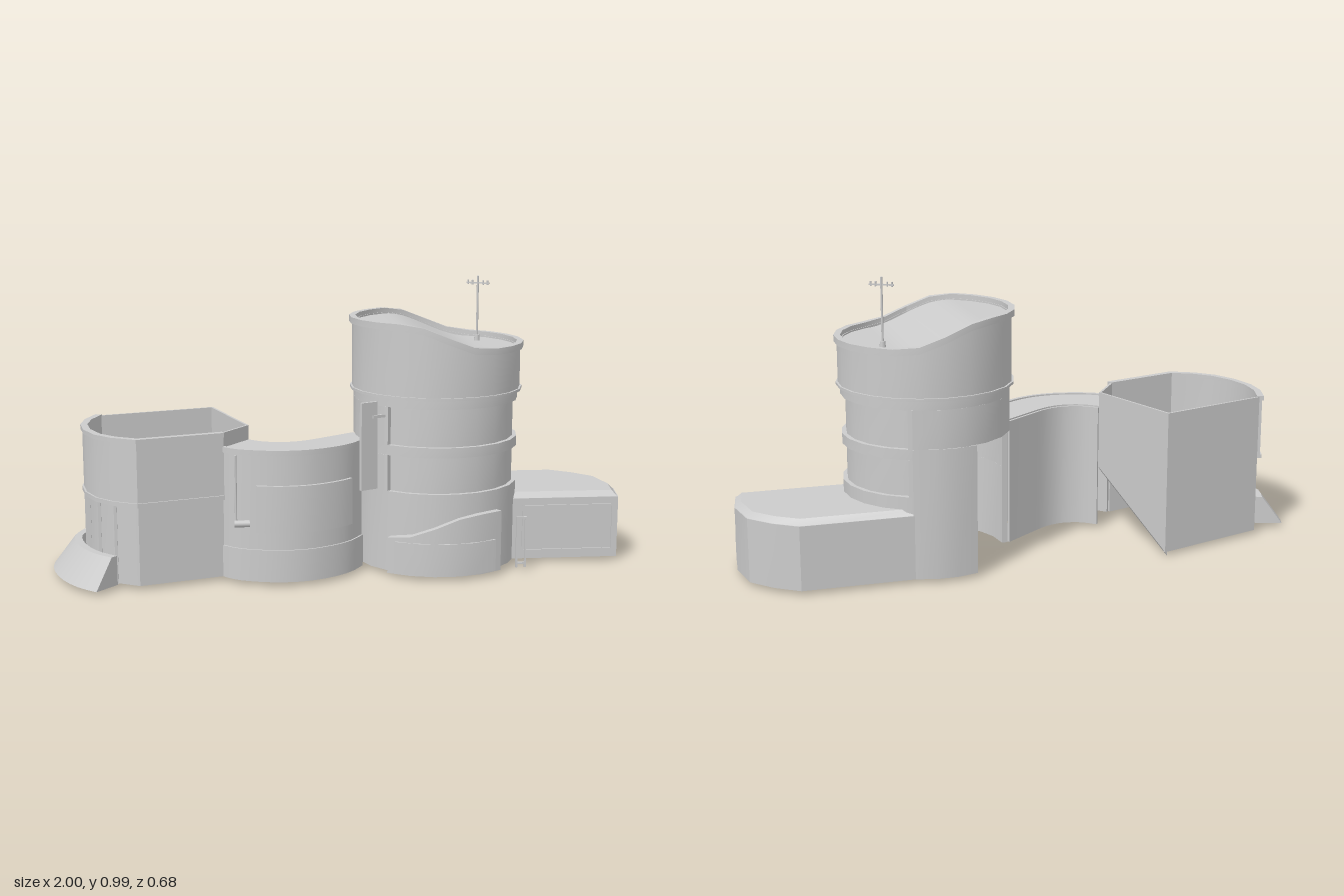
import * as THREE from 'three';
import { toCreasedNormals } from 'three/addons/utils/BufferGeometryUtils.js';

const grey = new THREE.MeshStandardMaterial({ color: 0xcccccc, side: THREE.DoubleSide });
const CX = 0.34, CZ = -0.04; // tower axis

function add(parent, name, geometry, x = 0, y = 0, z = 0, ry = 0) {
  const mesh = new THREE.Mesh(geometry, grey);
  mesh.name = name;
  mesh.position.set(x, y, z);
  mesh.rotation.y = ry;
  parent.add(mesh);
  return mesh;
}

// Solid through several rows of [x, y, z]; the last row joins the first, ends are capped
function loft(rows) {
  const pos = [];
  const tri = (a, b, c) => pos.push(...a, ...b, ...c);
  const n = rows[0].length;
  rows.forEach((row, k) => {
    const next = rows[(k + 1) % rows.length];
    for (let i = 0; i < n - 1; i++) {
      tri(row[i], row[i + 1], next[i + 1]);
      tri(row[i], next[i + 1], next[i]);
    }
  });
  for (let k = 1; k < rows.length - 1; k++) {
    tri(rows[0][0], rows[k][0], rows[k + 1][0]);
    tri(rows[0][n - 1], rows[k + 1][n - 1], rows[k][n - 1]);
  }
  const g = new THREE.BufferGeometry();
  g.setAttribute('position', new THREE.Float32BufferAttribute(pos, 3));
  return toCreasedNormals(g, 0.5);
}

// Plan path [x, z] lifted to a height, which may depend on x
const lift = (path, y) => path.map(([x, z]) => [x, typeof y === 'function' ? y(x) : y, z]);

// Plan path shifted sideways with mitred corners
function offset(path, d) {
  const normal = (a, b) => new THREE.Vector2(a[1] - b[1], b[0] - a[0]).normalize();
  return path.map((p, i) => {
    const n1 = normal(path[Math.max(i - 1, 0)], path[Math.max(i, 1)]);
    const n2 = i < path.length - 1 ? normal(p, path[i + 1]) : n1;
    const m = n1.clone().add(n2).normalize();
    const k = d / Math.max(m.dot(n1), 0.4);
    return [p[0] + m.x * k, p[1] + m.y * k];
  });
}

const slab = (outer, inner, y0, y1) =>
  loft([lift(outer, y0), lift(outer, y1), lift(inner, y1), lift(inner, y0)]);
const wall = (path, t, y0, y1) => slab(path, offset(path, -t), y0, y1);

// Arc about the tower axis; angle 0 faces front and grows towards +x
function arc(r, a0, a1) {
  const n = Math.max(2, Math.round((a1 - a0) / 0.29));
  return Array.from({ length: n + 1 }, (_, i) => {
    const a = a0 + (a1 - a0) * i / n;
    return [CX + r * Math.sin(a), CZ + r * Math.cos(a)];
  });
}

const spline = (pts, n) =>
  new THREE.SplineCurve(pts.map(p => new THREE.Vector2(...p))).getPoints(n).map(p => [p.x, p.y]);

// Sloping top of the tower, high on the -x side
const topHeight = x => 0.855 - 0.085 * THREE.MathUtils.smoothstep(x, 0.19, 0.48);

function buildTower() {
  const g = new THREE.Group();
  g.name = 'tower';
  const full = Math.PI * 2, W0 = -0.79, W1 = 2.76, L0 = -1.57, L1 = 3.52;
  const ringWall = (name, r, t, a0, a1, y0, y1) => add(g, name, wall(arc(r, a0, a1), t, y0, y1));

  // Lower storey is left open at the back towards the passage
  ringWall('groundWall', 0.287, 0.02, L0, L1, 0, 0.28);
  [[0.28, 0.405], [0.44, 0.57]].forEach(([y0, y1]) => {
    ringWall('windowBand', 0.272, 0.01, W0, W1, y0, y1);
    for (const a of [W0, W1 - 0.05]) ringWall('windowJamb', 0.287, 0.02, a, a + 0.05, y0, y1);
  });
  ringWall('lowerBelt', 0.287, 0.02, L0, L1, 0.405, 0.44);
  ringWall('sideWall', 0.287, 0.02, L0, W0, 0.28, 0.405);
  ringWall('backWall', 0.29, 0.02, W1, L1, 0, 0.44);
  ringWall('upperBackWall', 0.287, 0.02, W1, W0 + full, 0.44, 0.57);
  ringWall('upperBelt', 0.287, 0.02, 0, full, 0.57, 0.61);
  ringWall('ledge', 0.301, 0.03, 0, full, 0.602, 0.611);
  ringWall('drum', 0.294, 0.015, 0, full, 0.61, x => topHeight(x) - 0.015);
  ringWall('rim', 0.304, 0.022, 0, full, x => topHeight(x) - 0.022, topHeight);

  // Roof follows the slope
  const xs = Array.from({ length: 33 }, (_, i) => -Math.cos(Math.PI * i / 32) * 0.288);
  const edge = s => xs.map(x => [CX + x, CZ + s * Math.sqrt(Math.max(0, 0.288 ** 2 - x * x))]);
  add(g, 'roof', slab(edge(1), edge(-1), x => topHeight(x) - 0.03, x => topHeight(x) - 0.02));

  // Curved entrance front with a rising top edge
  const rise = x => 0.125 + 0.085 * THREE.MathUtils.smoothstep(x, 0.15, 0.45);
  ringWall('entranceFront', 0.312, 0.03, -0.68, 0.68, 0, rise);
  ringWall('entrancePanel', 0.318, 0.01, -0.58, 0.58, 0.005, 0.115);

  // Upright board beside the passage
  add(g, 'board', new THREE.BoxGeometry(0.065, 0.3, 0.012), 0.08, 0.44, 0.185, 0.5);
  add(g, 'boardBracket', new THREE.BoxGeometry(0.05, 0.01, 0.01), 0.115, 0.54, 0.175, 0.5);

  // Mast with crossarm
  const mast = new THREE.Group();
  mast.name = 'mast';
  mast.position.set(0.505, 0, -0.148);
  mast.rotation.y = -0.52;
  add(mast, 'pole', new THREE.CylinderGeometry(0.004, 0.004, 0.23, 8), 0, 0.865, 0);
  add(mast, 'poleFoot', new THREE.CylinderGeometry(0.009, 0.011, 0.02, 8), 0, 0.76, 0);
  add(mast, 'crossarm', new THREE.BoxGeometry(0.085, 0.005, 0.005), 0, 0.955, 0);
  for (const x of [-0.036, -0.02, 0.02, 0.036])
    add(mast, 'insulator', new THREE.CylinderGeometry(0.003, 0.003, 0.016, 6), x, 0.957, 0);
  g.add(mast);
  return g;
}

function buildRoom() {
  const g = new THREE.Group();
  g.name = 'openRoom';
  const A = [-0.84, -0.17], B = [-0.44, -0.3], C = [-0.32, 0.06], D = [-0.41, 0.19];
  const front = [A, [-0.87, -0.08], [-0.877, 0.01], [-0.86, 0.1], [-0.82, 0.185], [-0.765, 0.24], [-0.69, 0.28], D];
  add(g, 'lowerWall', wall(front, 0.008, 0, 0.28));
  add(g, 'upperWall', wall(offset(front, 0.01), 0.018, 0.28, 0.49));
  add(g, 'ledge', wall(offset(front, 0.016), 0.02, 0.27, 0.284));
  add(g, 'rim', wall(offset(front, 0.016), 0.024, 0.483, 0.498));
  add(g, 'backWall', wall([B, A], 0.008, 0, 0.495));
  add(g, 'innerWall', wall([C, B], 0.008, x => 0.22 * (x + 0.44) / 0.12, 0.495));
  add(g, 'linkWall', wall([D, C], 0.008, 0.44, 0.495));
  // Glazing posts on the curved side
  for (const [x, z] of offset(front, 0.004).slice(1, 6))
    add(g, 'post', new THREE.BoxGeometry(0.01, 0.27, 0.01), x, 0.135, z);

  // Sloping skirt round the outer end
  const foot = spline([[-0.97, -0.13], [-1, -0.03], [-0.99, 0.08], [-0.95, 0.19], [-0.895, 0.275], [-0.83, 0.335]], 10);
  add(g, 'skirt', loft([lift(foot, 0), lift(offset(foot, -0.075), 0.1),
    lift(offset(foot, -0.1), 0.1), lift(offset(foot, -0.1), 0)]));
  return g;
}

function buildPassage() {
  const g = new THREE.Group();
  g.name = 'passage';
  const front = spline([[-0.41, 0.19], [-0.36, 0.235], [-0.28, 0.265], [-0.2, 0.275], [-0.12, 0.262], [-0.04, 0.222], [0.02, 0.17], [0.065, 0.1]], 20);
  const back = spline([[-0.32, 0.06], [-0.27, 0.1], [-0.2, 0.115], [-0.13, 0.095], [-0.05, 0.04], [0.05, -0.035]], 20);
  add(g, 'base', wall(offset(front, 0.006), 0.018, 0, 0.11));
  add(g, 'frontWall', wall(front, 0.012, 0.11, 0.44));
  add(g, 'backWall', wall(back, 0.008, 0, 0.44));
  add(g, 'roof', slab(front, back, 0.435, 0.445));
  add(g, 'cornice', wall(offset(front, 0.008), 0.015, 0.432, 0.45));
  const bay = offset(front, 0.012).filter(([x]) => x > -0.31 && x < 0.03);
  add(g, 'windowPanel', wall(bay, 0.015, 0.17, 0.33));
  // Wall lamp on a rod
  add(g, 'lampRod', new THREE.CylinderGeometry(0.004, 0.004, 0.23, 8), -0.37, 0.315, 0.25);
  const lamp = add(g, 'lamp', new THREE.CylinderGeometry(0.012, 0.012, 0.05, 12), -0.35, 0.2, 0.26);
  lamp.rotation.z = Math.PI / 2;
  return g;
}

function buildAnnex() {
  const g = new THREE.Group();
  g.name = 'annex';
  const plan = [[0.59, 0.07], [0.98, 0.07], [0.996, -0.05], [0.97, -0.18], [0.9, -0.255], [0.82, -0.31], [0.4, -0.31]];
  add(g, 'walls', wall(plan, 0.01, 0, 0.218));
  const centre = plan.map(() => [0.6, -0.12]);
  const inset = offset(plan, -0.022);
  add(g, 'roof', loft([lift(plan, 0.215), lift(inset, 0.237), lift(centre, 0.237), lift(centre, 0.23), lift(inset, 0.23)]));
  // Slim frame on the front wall and a panel at the end
  for (const y of [0.03, 0.19]) add(g, 'frameRail', new THREE.BoxGeometry(0.32, 0.006, 0.008), 0.8, y, 0.072);
  for (const x of [0.64, 0.96]) add(g, 'framePost', new THREE.BoxGeometry(0.006, 0.166, 0.008), x, 0.11, 0.072);
  add(g, 'endPanel', new THREE.BoxGeometry(0.004, 0.1, 0.09), 0.986, 0.08, -0.085, 0.19);

  // Free-standing door frame where annex meets tower
  for (const x of [0.597, 0.627]) add(g, 'gatePost', new THREE.BoxGeometry(0.006, 0.18, 0.008), x, 0.09, 0.175);
  for (const y of [0.015, 0.177]) add(g, 'gateRail', new THREE.BoxGeometry(0.036, 0.006, 0.008), 0.612, y, 0.175);
  return g;
}

export function createModel() {
  const model = new THREE.Group();
  model.name = 'building';
  model.add(buildTower(), buildRoom(), buildPassage(), buildAnnex());
  return model;
}
